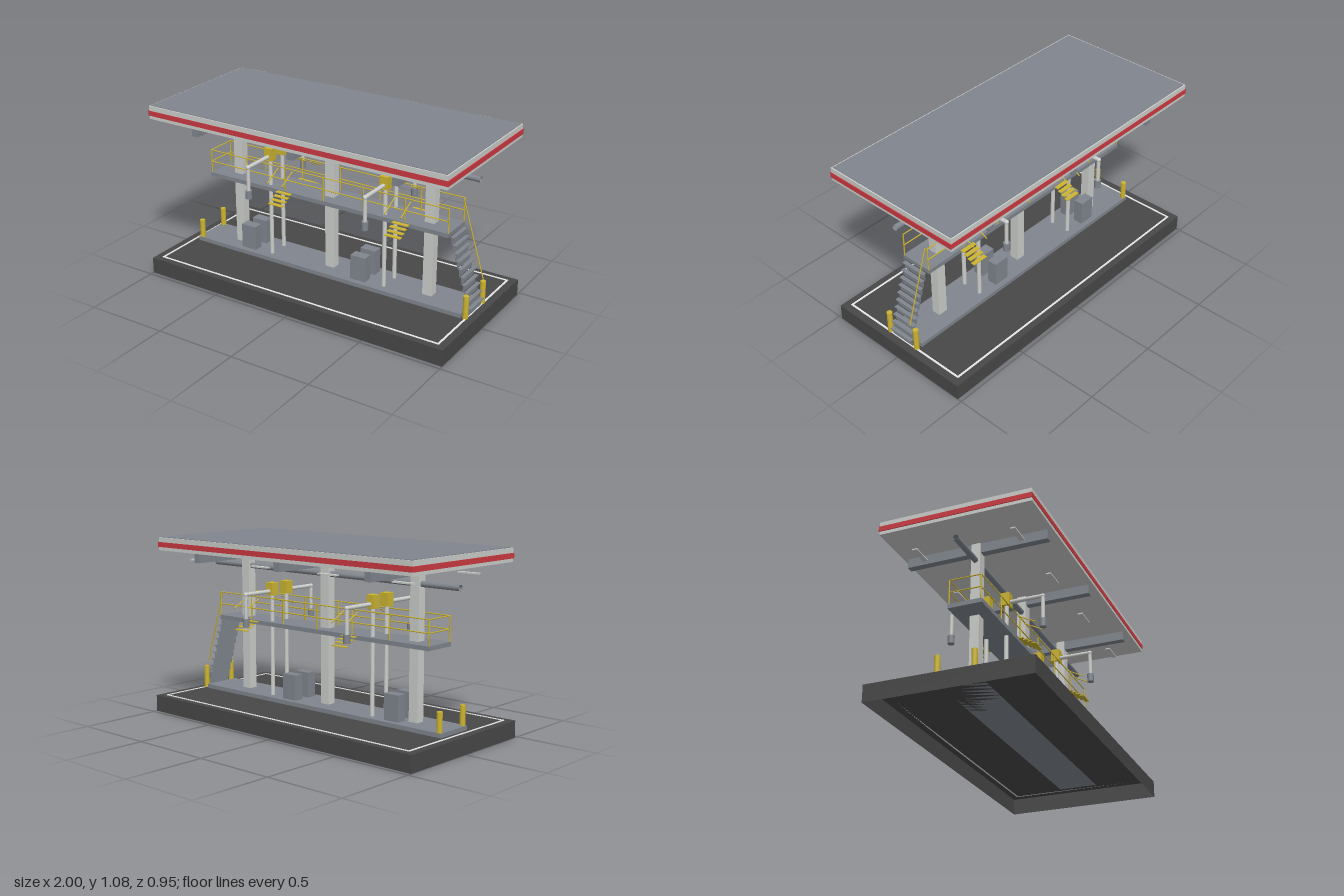
import * as THREE from 'three';

const mat = (name, color, side = THREE.FrontSide) => {
  const m = new THREE.MeshStandardMaterial({ color, side });
  m.name = name;
  return m;
};

export function createModel() {
  const asphalt = mat('asphalt', 0x484848, THREE.DoubleSide);
  const steel = mat('steel grey', 0x80868e, THREE.DoubleSide);
  const light = mat('light grey', 0xcccecb);
  const white = mat('line white', 0xe6e6e6);
  const red = mat('red', 0xcc3a42);
  const yellow = mat('safety yellow', 0xccb430);

  const model = new THREE.Group();
  model.name = 'loadingGantry';

  const add = (name, geo, m, x, y, z) => {
    const mesh = new THREE.Mesh(geo, m);
    mesh.name = name;
    mesh.position.set(x, y, z);
    model.add(mesh);
    return mesh;
  };
  // box given by its centre in x and z and its bottom and top in y
  const box = (name, m, x, z, w, d, y0, y1) =>
    add(name, new THREE.BoxGeometry(w, y1 - y0, d), m, x, (y0 + y1) / 2, z);
  // round bar between two points
  const bar = (name, m, a, b, r, sides = 16, open = false) => {
    const p = new THREE.Vector3(...a), q = new THREE.Vector3(...b);
    const dir = q.clone().sub(p);
    const mid = p.clone().add(q).multiplyScalar(0.5);
    const mesh = add(name, new THREE.CylinderGeometry(r, r, dir.length(), sides, 1, open), m, mid.x, mid.y, mid.z);
    mesh.quaternion.setFromUnitVectors(new THREE.Vector3(0, 1, 0), dir.normalize());
    return mesh;
  };

  // ground slab: hollow shell, open underneath
  const shell = new THREE.BoxGeometry(2, 0.1, 0.95);
  const idx = Array.from(shell.index.array);
  idx.splice(18, 6);
  shell.setIndex(idx);
  shell.clearGroups();
  add('groundSlab', shell, asphalt, 0, 0.05, 0);

  // painted border lines and island
  for (const s of [1, -1]) {
    box('borderLineLong', white, 0, s * 0.43, 1.91, 0.012, 0.1, 0.103);
    box('borderLineShort', white, s * 0.95, 0, 0.012, 0.86, 0.1, 0.103);
  }
  box('island', steel, 0, 0, 1.84, 0.24, 0.1, 0.125);

  // canopy
  box('canopyFascia', light, 0, 0, 1.946, 0.896, 1.0, 1.079);
  box('canopyStripe', red, 0, 0, 1.956, 0.902, 1.02, 1.05);
  box('roofPanel', steel, 0, 0, 1.93, 0.88, 1.076, 1.082);
  for (const x of [-0.66, 0, 0.66]) {
    box('column', light, x, 0, 0.06, 0.054, 0.125, 1.0);
    box('canopyBeam', steel, x, 0, 0.042, 0.844, 0.943, 1.0);
  }
  for (const x of [-0.79, -0.265, 0.265, 0.79])
    for (const z of [-0.29, 0.29])
      box('lampStrip', light, x, z, 0.134, 0.03, 0.935, 0.943);
  bar('headerPipe', steel, [-0.945, 0.896, 0], [0.945, 0.896, 0], 0.017, 16, true);

  // walkway with railings
  box('walkwayDeck', steel, 0, 0, 1.63, 0.2, 0.555, 0.58);
  const R = 0.0035;
  for (const z of [-0.093, 0.093]) {
    for (const y of [0.65, 0.724]) bar('guardRail', yellow, [-0.812, y, z], [0.812, y, z], R, 8);
    for (let i = -3; i <= 3; i++) bar('railPost', yellow, [i * 0.2707, 0.58, z], [i * 0.2707, 0.726, z], 0.004, 8);
  }
  for (const y of [0.65, 0.724]) bar('endRail', yellow, [-0.812, y, -0.093], [-0.812, y, 0.093], R, 8);

  // access stairs at the end
  for (let i = 0; i < 10; i++) {
    const y = 0.552 - i * 0.045, x = 0.832 + i * 0.0137;
    box('stairTread', steel, x, 0, 0.024, 0.16, y - 0.003, y + 0.003);
    const riser = add('stairRiser', new THREE.PlaneGeometry(0.16, 0.045), steel, x - 0.005, y - 0.0225, 0);
    riser.rotation.y = Math.PI / 2;
  }
  bar('stairHandrail', yellow, [0.815, 0.724, -0.077], [0.958, 0.262, -0.077], R, 8);

  // bollards
  for (const z of [-0.105, 0.105]) {
    bar('bollard', yellow, [-0.9, 0.125, z], [-0.9, 0.24, z], 0.0165, 16);
    bar('bollard', yellow, [0.945, 0.1, z], [0.945, 0.24, z], 0.0165, 16);
  }

  for (const s of [1, -1]) {
    // control cabinets
    for (const x of [-0.553, 0.233]) box('cabinet', steel, x, s * 0.056, 0.1, 0.062, 0.125, 0.278);

    // folding steps with handrails
    for (const x of [-0.265, 0.525]) {
      for (let i = 0; i < 4; i++) {
        const y = 0.573 - i * 0.0153;
        box('foldingStep', yellow, x, s * (0.114 + i * 0.026), 0.1, 0.026, y - 0.0025, y + 0.0025);
      }
      for (const dx of [-0.051, 0.051])
        bar('foldingStepRail', yellow, [x + dx, 0.713, s * 0.095], [x + dx, 0.655, s * 0.205], R, 8);
    }

    // loading arms
    for (const x of [-0.395, 0.395]) {
      bar('armRiser', light, [x, 0.125, s * 0.061], [x, 0.75, s * 0.061], 0.0125);
      box('armCounterweight', yellow, x, s * 0.06, 0.052, 0.053, 0.74, 0.817);
      bar('armBoom', light, [x, 0.764, s * 0.07], [x, 0.764, s * 0.28], 0.012);
      add('armElbow', new THREE.SphereGeometry(0.0135, 16, 12), light, x, 0.764, s * 0.28);
      bar('armDrop', light, [x, 0.764, s * 0.28], [x, 0.61, s * 0.28], 0.011);
      bar('armNozzle', steel, [x, 0.57, s * 0.28], [x, 0.62, s * 0.28], 0.02);
    }
  }
  return model;
}
